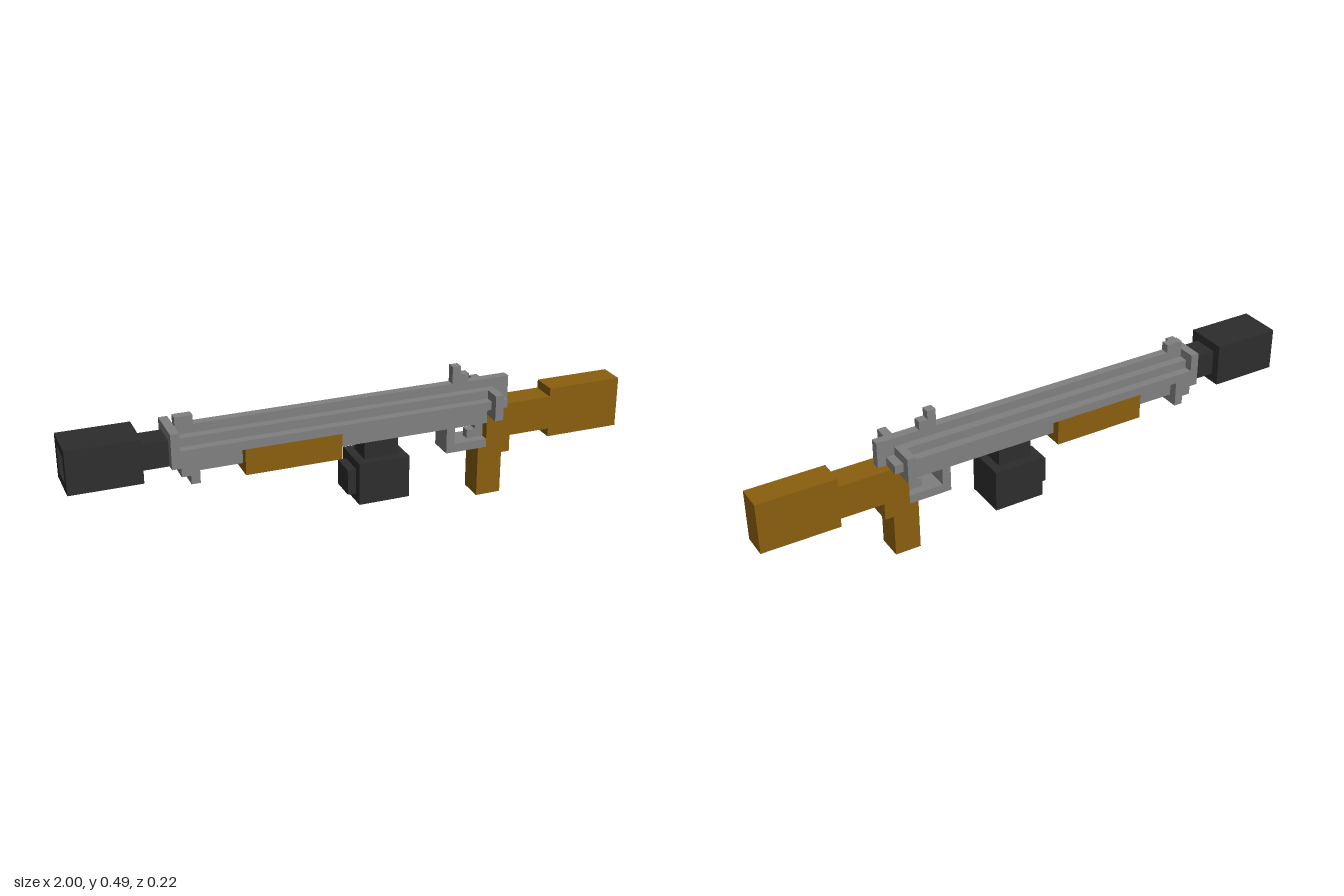
import * as THREE from 'three';

const U = 2 / 65; // one grid block

const wood = new THREE.MeshStandardMaterial({ color: 0x8b5f0e });
const steel = new THREE.MeshStandardMaterial({ color: 0x808080 });
const black = new THREE.MeshStandardMaterial({ color: 0x2d2d2d });
wood.name = 'wood';
steel.name = 'steel';
black.name = 'blackMetal';

export function createModel() {
  const model = new THREE.Group();
  model.name = 'blockRifle';

  // Block from x0..x1 and y0..y1 (in grid blocks), w blocks wide, centred on z = 0 by default
  function block(name, material, x0, x1, y0, y1, w, z = 0) {
    const geometry = new THREE.BoxGeometry((x1 - x0) * U, (y1 - y0) * U, w * U);
    const mesh = new THREE.Mesh(geometry, material);
    mesh.position.set((x0 + x1) / 2 * U - 1, (y0 + y1) / 2 * U, z * U);
    mesh.name = name;
    model.add(mesh);
  }

  // Muzzle: solid rear with a hollow square mouth
  block('muzzleBody', black, 2, 8, 9, 14, 5);
  block('muzzleMouthBottom', black, 0, 2, 9, 10, 5);
  block('muzzleMouthTop', black, 0, 2, 13, 14, 5);
  for (const s of [-1, 1]) block('muzzleMouthSide', black, 0, 2, 10, 13, 1, 2 * s);
  block('barrelNeck', black, 8, 11, 10, 13, 3);

  // Receiver: stepped cross-section
  block('frontPlate', steel, 11, 12, 10, 14, 5);
  block('frontBand', steel, 12, 14, 9, 11, 5);
  block('frontLug', steel, 13, 14, 8, 9, 5);
  block('lowerReceiver', steel, 14, 48, 9, 11, 3);
  block('sideRails', steel, 12, 50, 11, 12, 5);
  block('upperReceiver', steel, 12, 48, 12, 13, 3);
  block('topRidge', steel, 12, 51, 13, 14, 1);
  block('rearFin', steel, 48, 51, 12, 13, 1);
  block('rearFinFoot', steel, 50, 51, 11, 12, 1);
  block('crossHandle', steel, 48, 49, 10, 13, 7);

  // Sights
  block('frontSight', steel, 12, 14, 14, 15, 1);
  block('rearSightPost', steel, 44, 45, 14, 16, 1);
  block('rearSightStep', steel, 45, 46, 14, 15, 1);

  // Trigger and its guard
  block('guardFront', steel, 43, 44, 6, 9, 3);
  block('guardBottom', steel, 44, 48, 6, 7, 3);
  block('trigger', steel, 46, 48, 7, 8, 1);
  block('triggerStem', steel, 47, 48, 8, 9, 1);

  // Magazine
  block('magazineNeck', black, 33, 37, 7, 9, 3);
  block('magazineBox', black, 32, 38, 2, 7, 5);
  block('magazineKnob', black, 31, 32, 3, 6, 3);

  // Wooden furniture
  block('foreGrip', wood, 19, 30, 8, 11, 5);
  block('pistolGrip', wood, 47, 50, 0, 6, 3);
  block('gripBlock', wood, 48, 51, 5, 11, 3);
  block('stockNeck', wood, 51, 56, 7, 11, 3);
  block('buttStock', wood, 56, 65, 6, 12, 3);

  return model;
}
